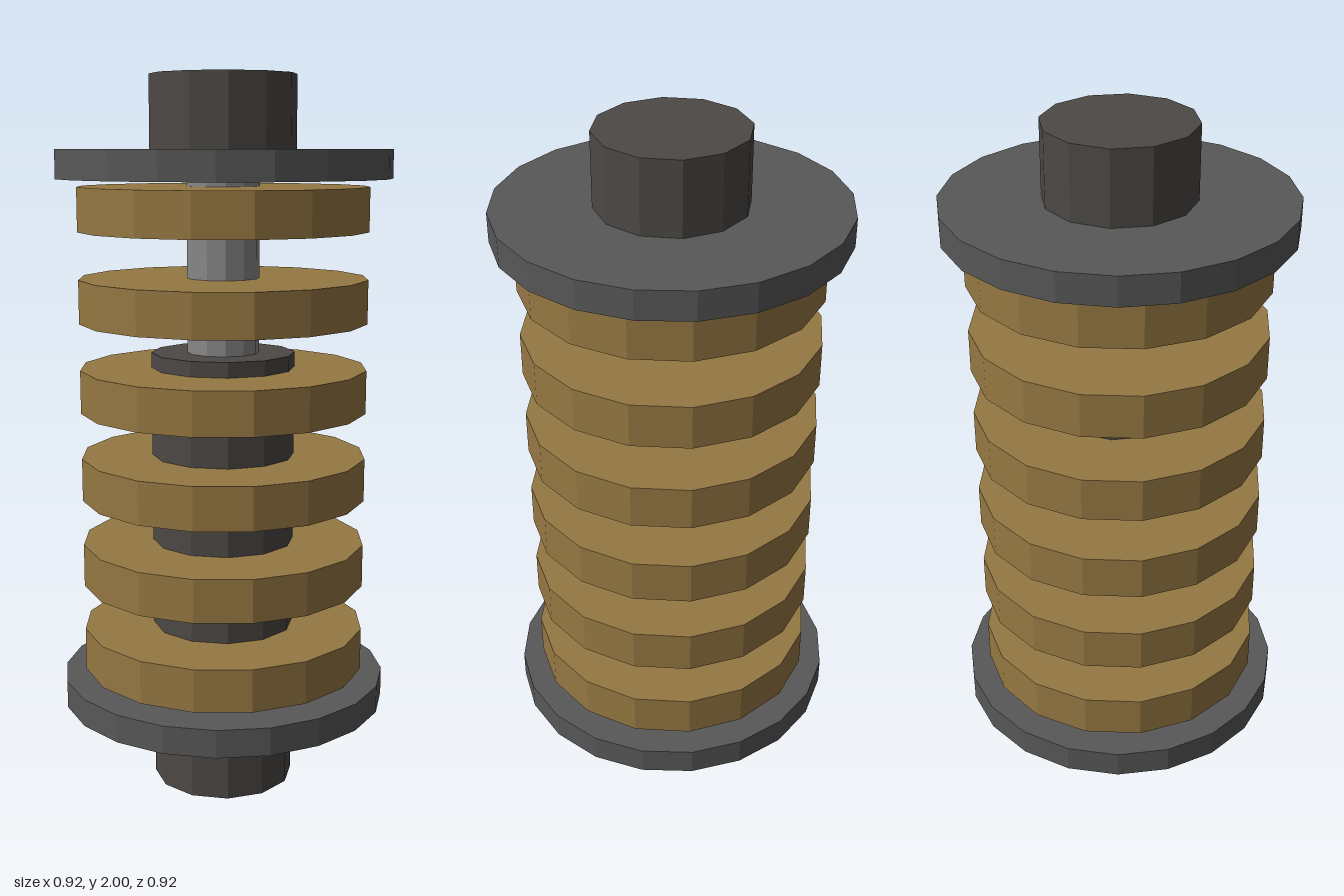
import * as THREE from 'three';

export function createModel() {
  const model = new THREE.Group();
  model.name = 'springDamper';

  const paint = (color) => new THREE.MeshStandardMaterial({ color, flatShading: true });
  const dark = paint(0x4c4945);
  const plate = paint(0x585858);
  const steel = paint(0x888888);
  const brass = paint(0x967843);

  // Upright faceted cylinder between two heights
  function disc(name, radius, bottom, top, sides, material) {
    const mesh = new THREE.Mesh(new THREE.CylinderGeometry(radius, radius, top - bottom, sides), material);
    mesh.name = name;
    mesh.position.y = (bottom + top) / 2;
    model.add(mesh);
  }

  // Damper core: lower body, piston rod and upper mount
  disc('damperBody', 0.2, 0, 1.25, 12, dark);
  disc('pistonRod', 0.1, 1.25, 1.74, 12, steel);
  disc('upperMount', 0.2, 1.8, 2, 12, dark);

  // Plates holding the spring
  disc('lowerSpringPlate', 0.46, 0.245, 0.323, 20, plate);
  disc('upperSpringPlate', 0.46, 1.725, 1.803, 20, plate);

  // Spring as a stack of evenly spaced discs
  for (let i = 0; i < 6; i++) {
    const y = 0.404 + i * 0.248;
    disc(`springCoil${i + 1}`, 0.4, y - 0.06, y + 0.06, 16, brass);
  }

  return model;
}
